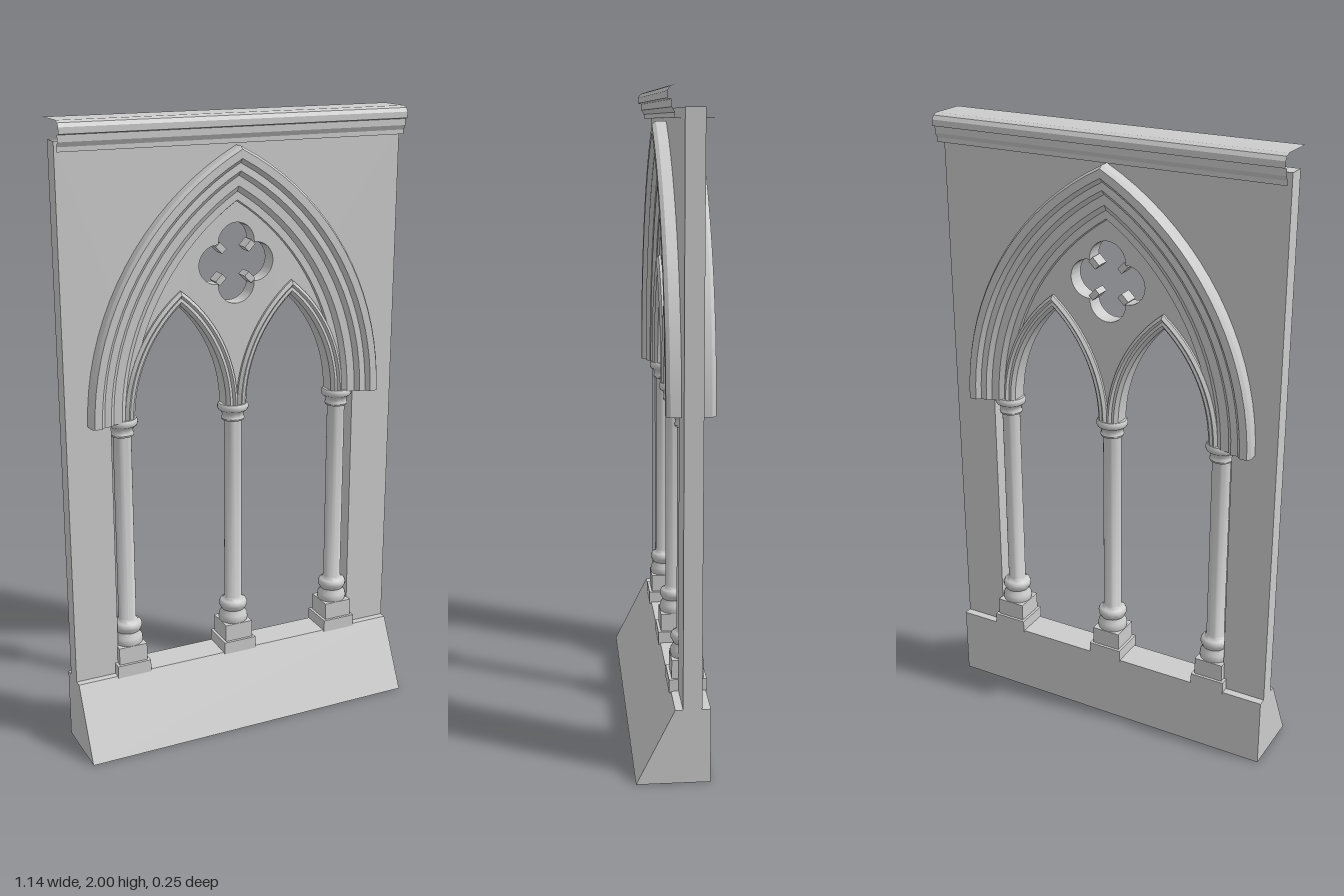
import * as THREE from 'three';
import { toCreasedNormals } from 'three/addons/utils/BufferGeometryUtils.js';

const MID = -0.041;      // z of the wall's middle plane
const SPRING = 1.085;    // height where all arches begin
const HALF_WALL = 0.028;
const BIG = { x: 0, R: 0.77, c: 0.42 };
const SMALL = { R: 0.461, c: 0.306 };
const material = new THREE.MeshStandardMaterial({ color: 0xcccccc });

function mesh(name, geometry, parent) {
  const m = new THREE.Mesh(geometry, material);
  m.name = name;
  parent.add(m);
  return m;
}

// Point on a two-centred pointed arch; s runs -1 (left foot), 0 (apex), 1 (right foot)
function archPoint({ x = 0, R, c }, offset, s) {
  const r = R + offset;
  const t = (1 - Math.abs(s)) * Math.acos(c / r);
  return [x + Math.sign(s) * (r * Math.cos(t) - c), SPRING + r * Math.sin(t)];
}

// Skin closed cross-sections; each row lists its front points, then its back points in reverse
function loft(rows, caps, crease = 0.5) {
  const m = rows[0].length, n = rows.length, index = [];
  for (let i = 0; i < n - 1; i++) {
    for (let j = 0; j < m; j++) {
      const k = (j + 1) % m;
      const a = i * m + j, b = i * m + k, c = a + m, d = b + m;
      index.push(a, b, c, b, d, c);
    }
  }
  if (caps) {
    for (let j = 0; j < m / 2 - 1; j++) {
      const q = [j, j + 1, m - 1 - j, m - 2 - j];
      const [a, b, c, d] = q;
      index.push(a, c, b, b, c, d);
      const [e, f, g, h] = q.map((v) => v + (n - 1) * m);
      index.push(e, f, g, f, h, g);
    }
  }
  const geo = new THREE.BufferGeometry();
  geo.setAttribute('position', new THREE.Float32BufferAttribute(rows.flat(2), 3));
  geo.setIndex(index);
  return toCreasedNormals(geo, crease);
}

// Moulding swept round an arch; profile is [offset, half depth] from outside to inside
function archMoulding(arch, profile, steps) {
  const ring = [...profile, ...profile.map(([o, h]) => [o, -h]).reverse()];
  const rows = [];
  for (let i = -steps; i <= steps; i++) {
    rows.push(ring.map(([o, h]) => [...archPoint(arch, o, i / steps), MID + h]));
  }
  return loft(rows, true);
}

// Straight bar along x with a [z, y] outline
function bar(outline, caps) {
  return loft([-0.57, 0.57].map((x) => outline.map(([z, y]) => [x, y, z])), caps, 0.3);
}

function buildWall(parent) {
  const shape = new THREE.Shape();
  shape.moveTo(-0.57, 0.2);
  shape.lineTo(-0.425, 0.2);
  shape.lineTo(-0.425, SPRING);
  for (const x of [-0.19, 0.19]) {
    for (let i = -14; i <= 14; i++) shape.lineTo(...archPoint({ x, ...SMALL }, 0.01, i / 14));
  }
  shape.lineTo(0.425, SPRING);
  shape.lineTo(0.425, 0.2);
  shape.lineTo(0.57, 0.2);
  shape.lineTo(0.57, 1.94);
  shape.lineTo(-0.57, 1.94);
  shape.closePath();

  // Four-lobed window
  const hole = new THREE.Path();
  const sweep = 1.65;
  for (let k = 0; k < 4; k++) {
    const a = k * Math.PI / 2;
    hole.absarc(0.065 * Math.cos(a), 1.545 + 0.065 * Math.sin(a), 0.061, a - sweep, a + sweep, false);
  }
  shape.holes.push(hole);
  const geo = new THREE.ExtrudeGeometry(shape, { depth: 2 * HALF_WALL, bevelEnabled: false, curveSegments: 16 });
  geo.translate(0, 0, MID - HALF_WALL);
  mesh('wall', toCreasedNormals(geo, 0.5), parent);

  // Cusps between the lobes
  for (let k = 0; k < 4; k++) {
    const a = Math.PI / 4 + k * Math.PI / 2;
    const cusp = mesh('windowCusp', new THREE.BoxGeometry(0.032, 0.02, 0.046), parent);
    cusp.position.set(0.07 * Math.cos(a), 1.545 + 0.07 * Math.sin(a), MID);
    cusp.rotation.z = a;
  }
}

function buildColumn(x, parent) {
  const column = new THREE.Group();
  column.name = 'column';
  column.position.set(x, 0, MID);
  parent.add(column);

  // Square plinth in two steps
  for (const [half, y0, y1] of [[0.057, 0.225, 0.267], [0.048, 0.267, 0.325]]) {
    mesh('plinth', new THREE.BoxGeometry(2 * half, y1 - y0, 2 * half), column).position.y = (y0 + y1) / 2;
  }

  // Turned base, shaft and capital
  const profile = [
    [0, 0.325], [0.047, 0.325], [0.049, 0.335], [0.047, 0.348], [0.041, 0.357], [0.039, 0.366],
    [0.043, 0.372], [0.047, 0.38], [0.047, 0.39], [0.043, 0.398], [0.034, 0.402], [0.029, 0.41],
    [0.029, 1.032], [0.036, 1.034], [0.038, 1.04], [0.035, 1.046], [0.035, 1.054], [0.04, 1.064],
    [0.047, 1.068], [0.05, 1.074], [0.05, 1.084], [0.046, 1.09], [0, 1.09],
  ].map(([r, y]) => new THREE.Vector2(r, y));
  mesh('shaft', toCreasedNormals(new THREE.LatheGeometry(profile, 24), 0.7), column);
}

export function createModel() {
  const model = new THREE.Group();
  model.name = 'tracedWindow';

  // Sloping sill
  mesh('sill', bar([[0.01, 0.23], [0.125, 0], [-0.095, 0], [-0.095, 0.23]], true), model);

  buildWall(model);

  // Cornice, hollow at its ends
  const half = [[0.056, 2], [0.072, 1.994], [0.08, 1.982], [0.08, 1.963], [0.068, 1.96],
    [0.068, 1.94], [0.06, 1.926], [0.06, 1.912]];
  const z0 = -0.046;
  const outline = [...half.map(([h, y]) => [z0 + h, y]), ...half.map(([h, y]) => [z0 - h, y]).reverse()];
  mesh('cornice', bar(outline, false), model);

  // Great arch, stepping in towards the tracery
  mesh('greatArch', archMoulding(BIG, [
    [0.15, 0.026], [0.15, 0.06], [0.142, 0.072], [0.118, 0.072], [0.106, 0.058], [0.085, 0.06],
    [0.072, 0.046], [0.045, 0.046], [0.03, 0.035], [0.008, 0.035], [0.004, 0.026],
  ], 18), model);

  // Twin arches over the openings
  for (const x of [-0.19, 0.19]) {
    mesh('smallArch', archMoulding({ x, ...SMALL }, [
      [0.036, 0.026], [0.036, 0.036], [0.026, 0.044], [0.019, 0.036], [0.01, 0.038], [0, 0.026],
    ], 14), model);
  }

  for (const x of [-0.38, 0, 0.38]) buildColumn(x, model);
  return model;
}
